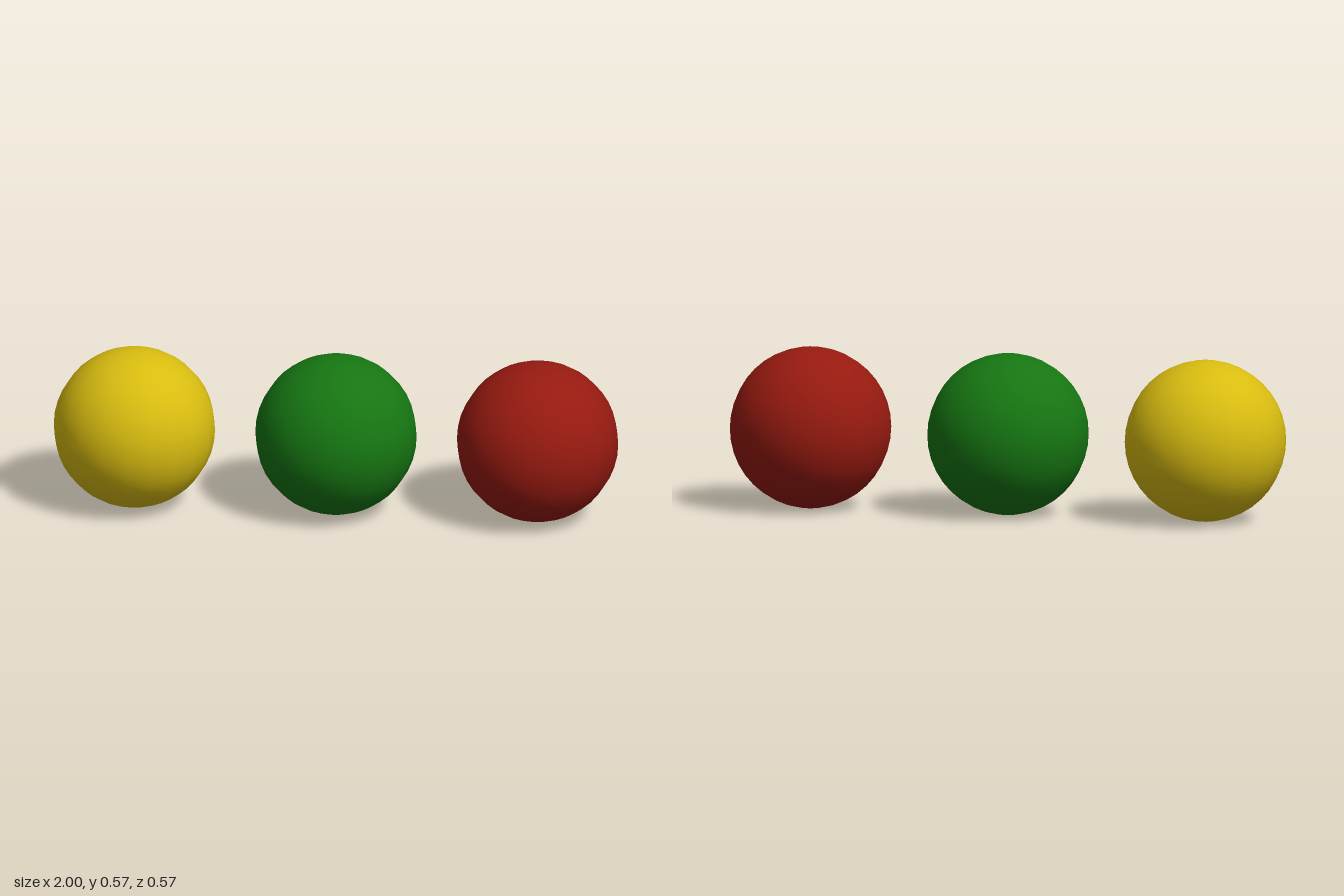
import * as THREE from 'three';

const RADIUS = 0.2857;
const SPACING = 2.5 * RADIUS;

// Three equal balls in a row, from the model's right to its left
const BALLS = [
  { name: 'yellowBall', color: 0xd8bc10 },
  { name: 'greenBall', color: 0x167612 },
  { name: 'redBall', color: 0x961a10 },
];

export function createModel() {
  const model = new THREE.Group();
  model.name = 'ballRow';
  const geometry = new THREE.SphereGeometry(RADIUS, 20, 20);

  BALLS.forEach(({ name, color }, i) => {
    const ball = new THREE.Mesh(geometry, new THREE.MeshStandardMaterial({ color }));
    ball.name = name;
    ball.position.set((i - 1) * SPACING, RADIUS, 0);
    model.add(ball);
  });
  return model;
}
